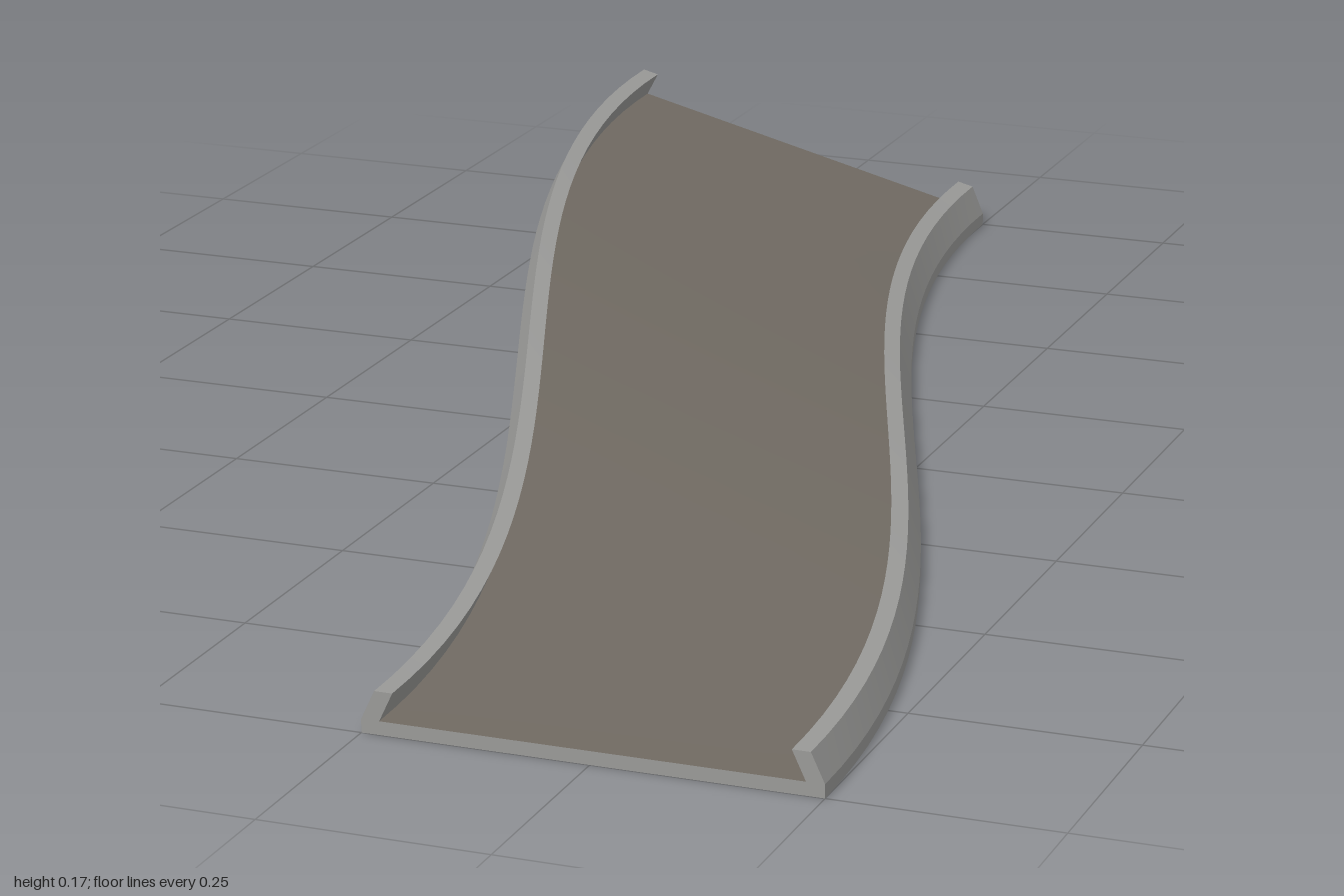
import * as THREE from 'three';
import { mergeGeometries } from 'three/addons/utils/BufferGeometryUtils.js';

const WIDTH = 0.5, RISE = 0.125, STEPS = 40;

// Closed cross-section, counter-clockwise as seen from the front
const PROFILE = [
  [0, 0], [0.5, 0], [0.5, 0.015], [0.485, 0.047], [0.465, 0.047],
  [0.48, 0.015], [0.02, 0.015], [0.035, 0.047], [0.015, 0.047], [0, 0.015],
];

// Place a profile point at t along the track: sideways S-bend plus growing bank
function place([u, v], t) {
  const s = t * t * (3 - 2 * t);
  return [u - WIDTH * s, v + RISE * s * (1 - u / WIDTH), 1 - 2 * t];
}

function surface(positions, indices) {
  const geo = new THREE.BufferGeometry();
  geo.setAttribute('position', new THREE.Float32BufferAttribute(positions, 3));
  geo.setIndex(indices);
  geo.computeVertexNormals();
  return geo;
}

// Sweep one profile edge along the track, smooth along its length
function strip(edge) {
  const a = PROFILE[edge], b = PROFILE[(edge + 1) % PROFILE.length];
  const pos = [], idx = [];
  for (let i = 0; i <= STEPS; i++) {
    pos.push(...place(a, i / STEPS), ...place(b, i / STEPS));
    if (i < STEPS) {
      const k = i * 2;
      idx.push(k, k + 2, k + 3, k, k + 3, k + 1);
    }
  }
  return surface(pos, idx);
}

// Flat end face of the track
function cap(t) {
  const outline = PROFILE.map(([x, y]) => new THREE.Vector2(x, y));
  const idx = THREE.ShapeUtils.triangulateShape(outline, [])
    .flatMap(([a, b, c]) => (t === 0 ? [a, b, c] : [a, c, b]));
  return surface(PROFILE.flatMap((p) => place(p, t)), idx);
}

export function createModel() {
  const group = new THREE.Group();
  group.name = 'trackSection';
  const frame = new THREE.MeshStandardMaterial({ color: 0x999997 });
  frame.name = 'frameGrey';
  const road = new THREE.MeshStandardMaterial({ color: 0x706a62 });
  road.name = 'roadBrown';

  const add = (name, geometry, material) => {
    const mesh = new THREE.Mesh(geometry, material);
    mesh.name = name;
    group.add(mesh);
  };

  add('underside', strip(0), frame);
  add('leftRail', mergeGeometries([1, 2, 3, 4].map(strip)), frame);
  add('roadSurface', strip(5), road);
  add('rightRail', mergeGeometries([6, 7, 8, 9].map(strip)), frame);
  add('frontEnd', cap(0), frame);
  add('backEnd', cap(1), frame);
  return group;
}
